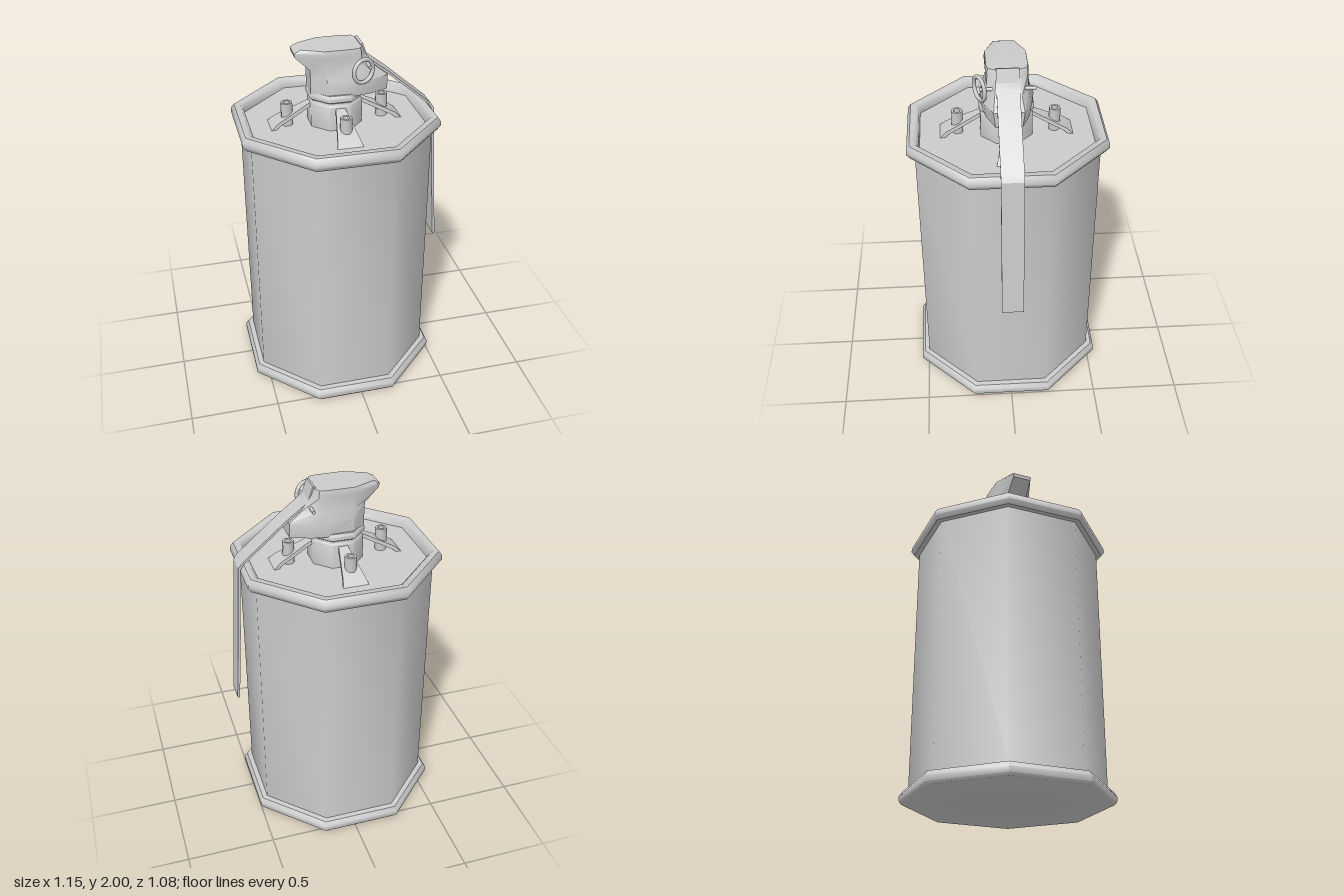
import * as THREE from 'three';
import { toCreasedNormals } from 'three/addons/utils/BufferGeometryUtils.js';

const material = new THREE.MeshStandardMaterial({ color: 0xcccccc, side: THREE.DoubleSide });
const AXIS_X = -0.035; // the can sits slightly right of centre

function add(parent, name, geometry, x = 0, y = 0, z = 0) {
  const mesh = new THREE.Mesh(geometry, material);
  mesh.name = name;
  mesh.position.set(x, y, z);
  parent.add(mesh);
  return mesh;
}

// Eight-sided turned part; radii are measured to the middle of the flats
function octagonLathe(profile) {
  const k = 1 / Math.cos(Math.PI / 8);
  const points = profile.map(([r, y]) => new THREE.Vector2(r * k, y));
  return toCreasedNormals(new THREE.LatheGeometry(points, 8, Math.PI / 8), 0.9);
}

// Closed skin through rings of equal point count, capped at both ends
function loft(rings, crease = 0.6) {
  const n = rings[0].length;
  const vertices = rings.flat().map((p) => new THREE.Vector3(...p));
  const faces = [];
  for (let i = 0; i < rings.length - 1; i++) {
    for (let j = 0; j < n; j++) {
      const a = i * n + j, b = i * n + ((j + 1) % n);
      faces.push([a, b, b + n], [a, b + n, a + n]);
    }
  }
  const last = (rings.length - 1) * n;
  for (let j = 1; j < n - 1; j++) {
    faces.push([0, j + 1, j], [last, last + j, last + j + 1]);
  }
  // Turn the skin outward when its signed volume is negative
  let volume = 0;
  for (const [a, b, c] of faces) {
    volume += vertices[a].dot(vertices[b].clone().cross(vertices[c]));
  }
  if (volume < 0) faces.forEach((f) => f.reverse());
  const geometry = new THREE.BufferGeometry().setFromPoints(vertices);
  geometry.setIndex(faces.flat());
  return toCreasedNormals(geometry, crease);
}

// Bent plate: stations are [x, y, half width], thickness goes along (tx, ty)
function plate(stations, tx, ty) {
  return loft(stations.map(([x, y, w]) => [
    [x, y, w], [x, y, -w], [x - tx, y - ty, -w], [x - tx, y - ty, w],
  ]), 0.4);
}

export function createModel() {
  const model = new THREE.Group();
  model.name = 'canister';

  // Can with rolled rims and a sunken lid
  add(model, 'can', octagonLathe([
    [0, 0], [0.525, 0], [0.538, 0.015], [0.54, 0.045], [0.523, 0.072], [0.495, 0.075],
    [0.495, 1.53], [0.523, 1.53], [0.54, 1.555], [0.538, 1.58], [0.522, 1.603],
    [0.49, 1.603], [0.475, 1.585], [0.47, 1.555], [0, 1.55],
  ]), AXIS_X);

  // Neck and collar under the head
  add(model, 'neck', octagonLathe([
    [0.14, 1.54], [0.14, 1.685], [0.132, 1.695], [0.132, 1.705], [0.147, 1.715],
    [0.147, 1.735], [0.138, 1.75], [0, 1.75],
  ]), AXIS_X);

  // Four flared braces, each with a hollow stud
  const braceGeometry = plate(
    [[0.12, 1.685, 0.022], [0.15, 1.672, 0.027], [0.325, 1.585, 0.06], [0.372, 1.545, 0.0725]],
    0.01, 0.018,
  );
  const studGeometry = octagonLathe([
    [0.03, 1.55], [0.03, 1.682], [0.018, 1.682], [0.018, 1.63], [0, 1.63],
  ]);
  for (let i = 0; i < 4; i++) {
    const brace = new THREE.Group();
    brace.name = 'brace' + (i + 1);
    brace.position.x = AXIS_X;
    brace.rotation.y = (i * Math.PI) / 2;
    add(brace, 'bracePlate', braceGeometry);
    add(brace, 'stud', studGeometry, 0.265);
    model.add(brace);
  }

  // Fuse head: each level is a height and half an outline, mirrored in z
  const levels = [
    [1.735, [[-0.178, 0.06], [-0.1, 0.125], [0.04, 0.13], [0.13, 0.115], [0.24, 0.07]]],
    [1.82, [[-0.178, 0.06], [-0.1, 0.125], [0.04, 0.14], [0.13, 0.125], [0.24, 0.08]]],
    [1.875, [[-0.18, 0.06], [-0.11, 0.105], [0.04, 0.115], [0.1, 0.11], [0.17, 0.07]]],
    [1.95, [[-0.258, 0.055], [-0.11, 0.112], [0.04, 0.112], [0.085, 0.105], [0.115, 0.06]]],
    [1.972, [[-0.262, 0.055], [-0.11, 0.112], [0.04, 0.112], [0.085, 0.105], [0.107, 0.06]]],
    [1.99, [[-0.225, 0.055], [-0.11, 0.108], [0.04, 0.108], [0.08, 0.1], [0.1, 0.06]]],
  ];
  add(model, 'fuseHead', loft(levels.map(([y, half]) => [
    ...half.map(([x, z]) => [x, y, z]),
    ...half.map(([x, z]) => [x, y, -z]).reverse(),
  ])));

  // Safety lever bent down the side of the can
  add(model, 'lever', plate([
    [0.105, 2.0, 0.06], [0.135, 1.915, 0.06], [0.25, 1.828, 0.06], [0.5, 1.615, 0.06],
    [0.52, 1.585, 0.06], [0.545, 1.15, 0.06], [0.572, 0.75, 0.06],
  ], 0.014, 0.004));

  // Pull ring and its pin
  const ring = add(model, 'pullRing', new THREE.TorusGeometry(0.063, 0.011, 8, 24), 0.087, 1.88, 0.145);
  ring.rotation.y = 0.42;
  const pin = add(model, 'pin', new THREE.CylinderGeometry(0.01, 0.01, 0.29, 8), 0.125, 1.895, 0);
  pin.rotation.x = Math.PI / 2;

  return model;
}
